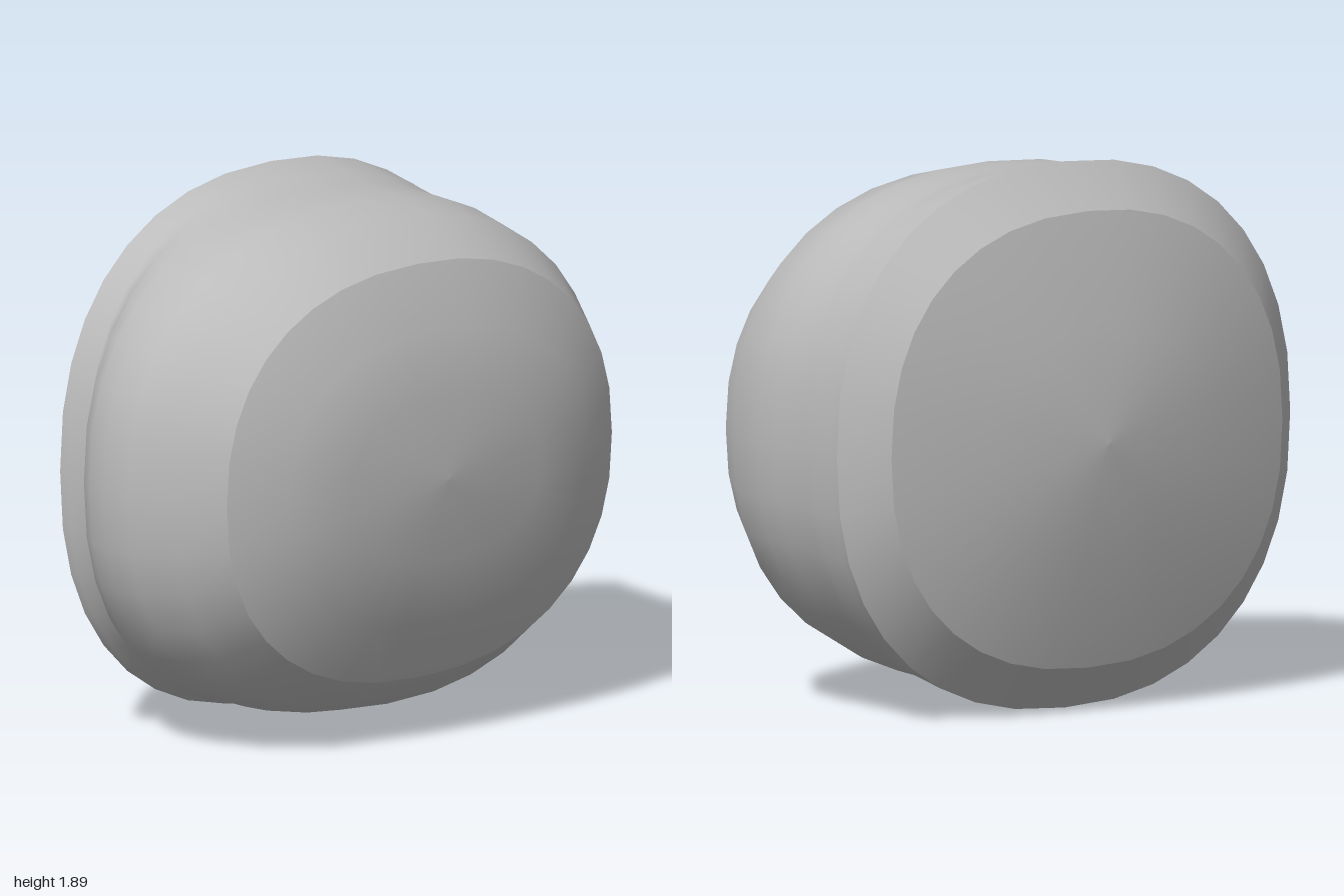
import * as THREE from 'three';

const SEGMENTS = 36;
const CENTRE_Y = 0.945, CENTRE_Z = -0.04;

// Cross-sections from right to left: x, half height, front z, back z
const RIGHT_CAP = [
  [-0.61, 0, -0.04, -0.04], [-0.58, 0.415, 0.38, -0.47], [-0.48, 0.79, 0.77, -0.86],
];
const RIM = [
  [-0.48, 0.79, 0.77, -0.86], [-0.34, 0.945, 0.9, -0.99],
];
const BARREL = [
  [-0.34, 0.945, 0.9, -0.99], [-0.3, 0.937, 0.9, -0.99], [-0.255, 0.928, 0.855, -0.99],
  [-0.2, 0.918, 0.89, -0.99], [-0.16, 0.908, 0.945, -0.99], [-0.1, 0.897, 0.97, -0.99],
  [0.01, 0.893, 1.0, -0.995], [0.12, 0.888, 0.98, -1.0], [0.28, 0.85, 0.91, -0.99],
  [0.44, 0.728, 0.81, -0.91],
];
const LEFT_CAP = [
  [0.44, 0.728, 0.81, -0.91], [0.54, 0.518, 0.61, -0.71],
  [0.59, 0.29, 0.38, -0.47], [0.608, 0, -0.04, -0.04],
];

// Loft rounded-square loops through a list of cross-sections
function loft(sections) {
  const positions = [], indices = [];
  const soften = (v) => Math.sign(v) * Math.abs(v) ** (2 / 2.3);
  for (const [x, halfHeight, front, back] of sections) {
    for (let i = 0; i < SEGMENTS; i++) {
      const t = (i / SEGMENTS) * Math.PI * 2;
      const c = soften(Math.cos(t)), s = soften(Math.sin(t));
      const reach = c > 0 ? front - CENTRE_Z : CENTRE_Z - back;
      positions.push(x, CENTRE_Y + halfHeight * s, CENTRE_Z + reach * c);
    }
  }
  for (let r = 0; r < sections.length - 1; r++) {
    for (let i = 0; i < SEGMENTS; i++) {
      const j = (i + 1) % SEGMENTS;
      const a = r * SEGMENTS + i, b = r * SEGMENTS + j;
      const c = a + SEGMENTS, d = b + SEGMENTS;
      indices.push(a, c, d, a, d, b);
    }
  }
  const geometry = new THREE.BufferGeometry();
  geometry.setAttribute('position', new THREE.Float32BufferAttribute(positions, 3));
  geometry.setIndex(indices);
  geometry.computeVertexNormals();
  return geometry;
}

export function createModel() {
  const grey = new THREE.MeshStandardMaterial({ color: 0xbbbbbb });
  grey.name = 'grey';
  const model = new THREE.Group();
  model.name = 'roundedShell';
  // Separate lofts keep the edges between them sharp
  const parts = { rightCap: RIGHT_CAP, rim: RIM, groovedBarrel: BARREL, leftCap: LEFT_CAP };
  for (const [name, sections] of Object.entries(parts)) {
    const mesh = new THREE.Mesh(loft(sections), grey);
    mesh.name = name;
    model.add(mesh);
  }
  return model;
}
